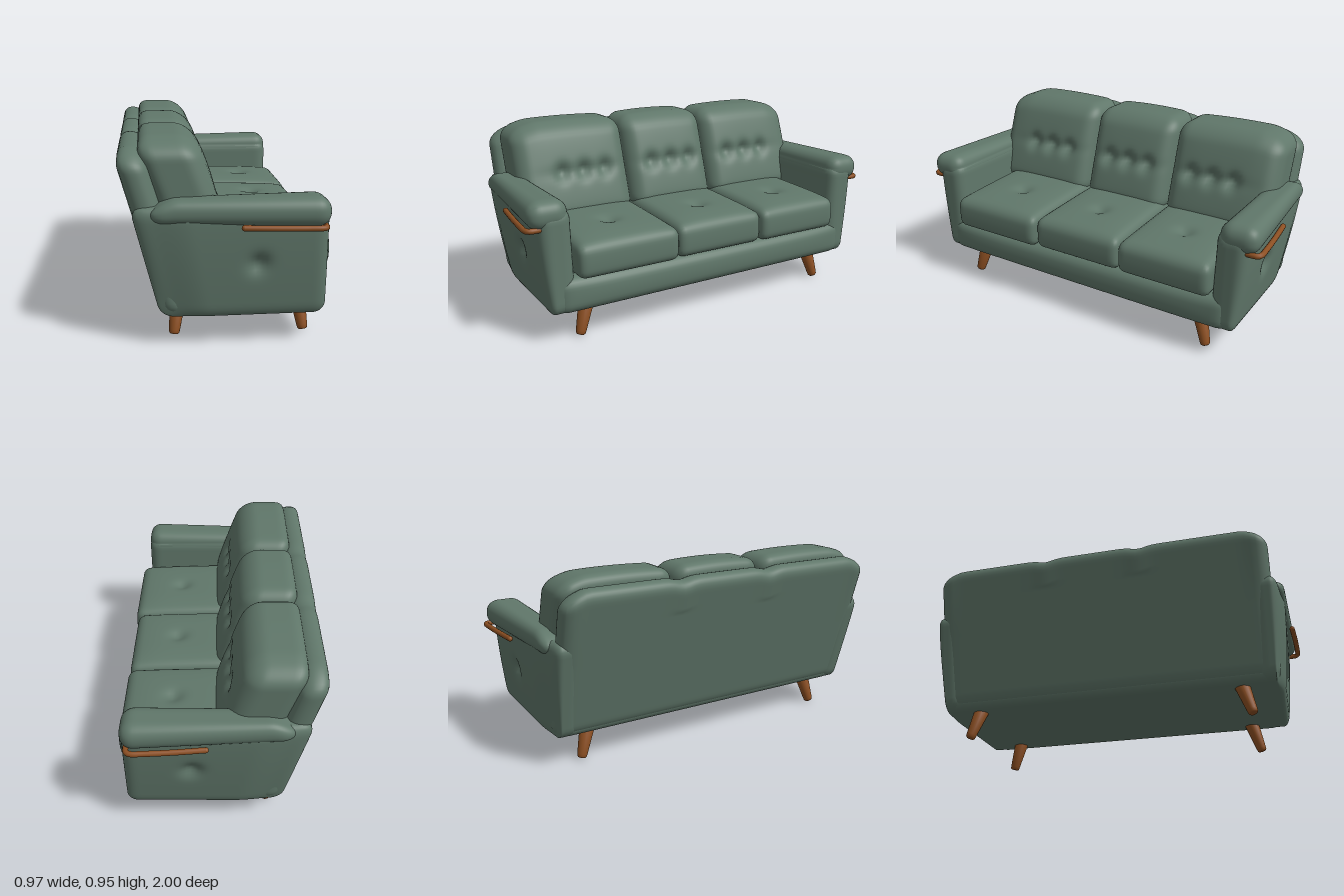
import * as THREE from 'three';
import { mergeVertices } from 'three/addons/utils/BufferGeometryUtils.js';

const fabric = new THREE.MeshStandardMaterial({ color: 0x60776a });
fabric.name = 'green fabric';
const wood = new THREE.MeshStandardMaterial({ color: 0x8c4f22 });
wood.name = 'brown wood';

const { clamp, smoothstep } = THREE.MathUtils;
const bell = (a, b, s) => Math.exp(-(a * a + b * b) / (s * s));

// Upholstered block: a rounded box given by its min and max corners, then shaped by a rule
function pad(name, min, max, r, rule) {
  const size = max.map((m, i) => m - min[i]);
  const mid = max.map((m, i) => (m + min[i]) / 2);
  const segs = size.map(s => Math.round(clamp(s / 0.017, 12, 64)));
  let g = new THREE.BoxGeometry(...size, ...segs);
  g.deleteAttribute('uv');
  g.deleteAttribute('normal');
  g = mergeVertices(g, 1e-5);
  const pos = g.attributes.position;
  const v = new THREE.Vector3(), core = new THREE.Vector3();
  const lim = new THREE.Vector3(...size.map(s => Math.max(s / 2 - r, 0)));
  const neg = lim.clone().negate();
  for (let i = 0; i < pos.count; i++) {
    v.fromBufferAttribute(pos, i);
    core.copy(v).clamp(neg, lim);
    v.sub(core).setLength(r).add(core);
    // u, w, t run from -1 to 1 across the block in x, y and z
    const u = v.x / size[0] * 2, w = v.y / size[1] * 2, t = v.z / size[2] * 2;
    v.add(new THREE.Vector3(...mid));
    if (rule) rule(v, u, w, t);
    pos.setXYZ(i, v.x, v.y, v.z);
  }
  g.computeVertexNormals();
  const mesh = new THREE.Mesh(g, fabric);
  mesh.name = name;
  return mesh;
}

// Tapered round leg from a top point to a foot point
function leg(name, top, foot) {
  const a = new THREE.Vector3(...top), b = new THREE.Vector3(...foot);
  const h = a.distanceTo(b);
  const profile = [[0, 0], [0.019, 0], [0.024, 0.006], [0.026, 0.02], [0.039, h], [0, h]]
    .map(p => new THREE.Vector2(...p));
  const mesh = new THREE.Mesh(new THREE.LatheGeometry(profile, 20), wood);
  mesh.name = name;
  mesh.position.copy(b);
  mesh.quaternion.setFromUnitVectors(new THREE.Vector3(0, 1, 0), a.sub(b).normalize());
  return mesh;
}

export function createModel() {
  const sofa = new THREE.Group();
  sofa.name = 'sofa';

  // Base with a softly bulging front rail
  sofa.add(pad('base', [-0.31, 0.145, -0.86], [0.44, 0.325, 0.86], 0.05, (v, u, w, t) => {
    if (u > 0) v.x += 0.018 * u * (1 - w * w) * (1 - t ** 6);
  }));

  // Leaning back panel
  sofa.add(pad('backPanel', [-0.305, 0.145, -0.885], [-0.17, 0.905, 0.885], 0.065, (v, u, w, t) => {
    v.x -= 0.262 * (v.y - 0.145);
    const edge = smoothstep(Math.abs(t), 0.85, 1);
    if (w > 0) v.y -= 0.04 * edge * w;
    // Shallow dips in the top edge in line with the cushion seams
    for (const z of [-0.275, 0.232]) if (w > 0.6) v.y -= 0.015 * bell(v.z - z, 0, 0.05);
  }));

  const spans = [[-0.775, -0.277], [-0.273, 0.23], [0.234, 0.77]];
  spans.forEach(([z0, z1], i) => {
    // Seat cushion with one tuft
    const zc = (z0 + z1) / 2;
    const reach = [0.465, 0.46, 0.475][i];
    sofa.add(pad('seatCushion', [-0.12, 0.318, z0], [reach, 0.485, z1], 0.04, (v, u, w, t) => {
      const puff = (1 - u ** 4) * (1 - t ** 4);
      if (w > 0) v.y += w * (0.022 * puff + 0.02 * (1 - u) / 2 - 0.025 * bell(v.x - 0.22, v.z - zc, 0.045));
      if (u > 0) v.x += 0.008 * u * (1 - w * w);
    }));

    // Back cushion with a row of tufts
    const b0 = i === 0 ? -0.875 : z0, b1 = i === 2 ? 0.855 : z1;
    sofa.add(pad('backCushion', [-0.345, 0.45, b0], [-0.075, 0.945, b1], 0.075, (v, u, w, t) => {
      if (u > 0) {
        let d = 0.022 * (1 - t ** 4) * (1 - w ** 4);
        for (const k of [-0.12, 0, 0.12]) d -= 0.035 * bell(v.z - zc - k, (v.y - 0.7) * 0.9, 0.035);
        d -= 0.01 * bell((v.y - 0.7) * 2, (v.z - zc) * 0.3, 0.06);
        v.x += u * d;
      }
      v.x -= 0.33 * (v.y - 0.72);
      if (w > 0) v.y += w * (0.012 * (1 - t * t) - 0.006);
      // Outer shoulders slope down
      const out = i === 0 ? -t : i === 2 ? t : 0;
      if (w > 0) v.y -= 0.025 * smoothstep(out, 0.5, 1) * w;
    }));
  });

  for (const s of [1, -1]) {
    const side = s > 0 ? 'left' : 'right';
    const range = (a, b) => s > 0 ? [a, b] : [-b, -a];
    const arm = new THREE.Group();
    arm.name = side + 'Arm';

    // Side panel, tucked in at the bottom, leaning at the back, with a small dent
    const [p0, p1] = range(0.775, 0.94);
    arm.add(pad('armPanel', [-0.31, 0.145, p0], [0.435, 0.66, p1], 0.055, (v, u, w, t) => {
      const o = t * s;
      const high = clamp((v.y - 0.145) / 0.45, 0, 1);
      v.x -= 0.25 * (v.y - 0.145) * (1 - u) / 2;
      if (o > 0) {
        v.z -= s * o * 0.045 * (1 - high) ** 1.5;
        v.z -= s * o * 0.03 * bell(v.x - 0.12, v.y - 0.4, 0.045);
        v.z -= s * o * 0.03 * smoothstep(-u, 0.4, 1);
      } else v.z += s * o * 0.012 * (1 - high);
    }));

    // Padded arm top, overhanging outwards and tapering to the back
    const [r0, r1] = range(0.785, 0.985);
    arm.add(pad('armRest', [-0.35, 0.565, r0], [0.435, 0.705, r1], 0.066, (v, u, w, t) => {
      const back = (1 - u) / 2;
      v.y = 0.565 + 0.025 * back + (v.y - 0.565) * (1 - 0.27 * back - 0.2 * smoothstep(back, 0.85, 1));
      if (t * s > 0) v.z -= s * t * s * 0.045 * back;
      // Inner side flows down into the arm panel
      if (t * s < 0 && w < 0) v.z += s * t * s * 0.008;
    }));

    // Wooden trim rail that bends into the arm front
    const path = new THREE.CatmullRomCurve3([
      [0.05, 0.58, 0.966], [0.2, 0.578, 0.979], [0.32, 0.577, 0.986], [0.385, 0.577, 0.987],
      [0.403, 0.577, 0.975], [0.404, 0.577, 0.91],
    ].map(([x, y, z]) => new THREE.Vector3(x, y, s * z)));
    const rail = new THREE.Mesh(new THREE.TubeGeometry(path, 40, 0.0135, 12), wood);
    rail.name = 'armTrim';
    arm.add(rail);
    const cap = new THREE.Mesh(new THREE.SphereGeometry(0.0135, 12, 8), wood);
    cap.name = 'armTrimEnd';
    cap.position.copy(path.getPoint(0));
    arm.add(cap);
    sofa.add(arm);

    // Splayed legs
    sofa.add(leg(side + 'FrontLeg', [0.346, 0.165, s * 0.69], [0.368, 0.004, s * 0.737]));
    sofa.add(leg(side + 'BackLeg', [-0.225, 0.165, s * 0.69], [-0.247, 0.004, s * 0.737]));
  }
  return sofa;
}
